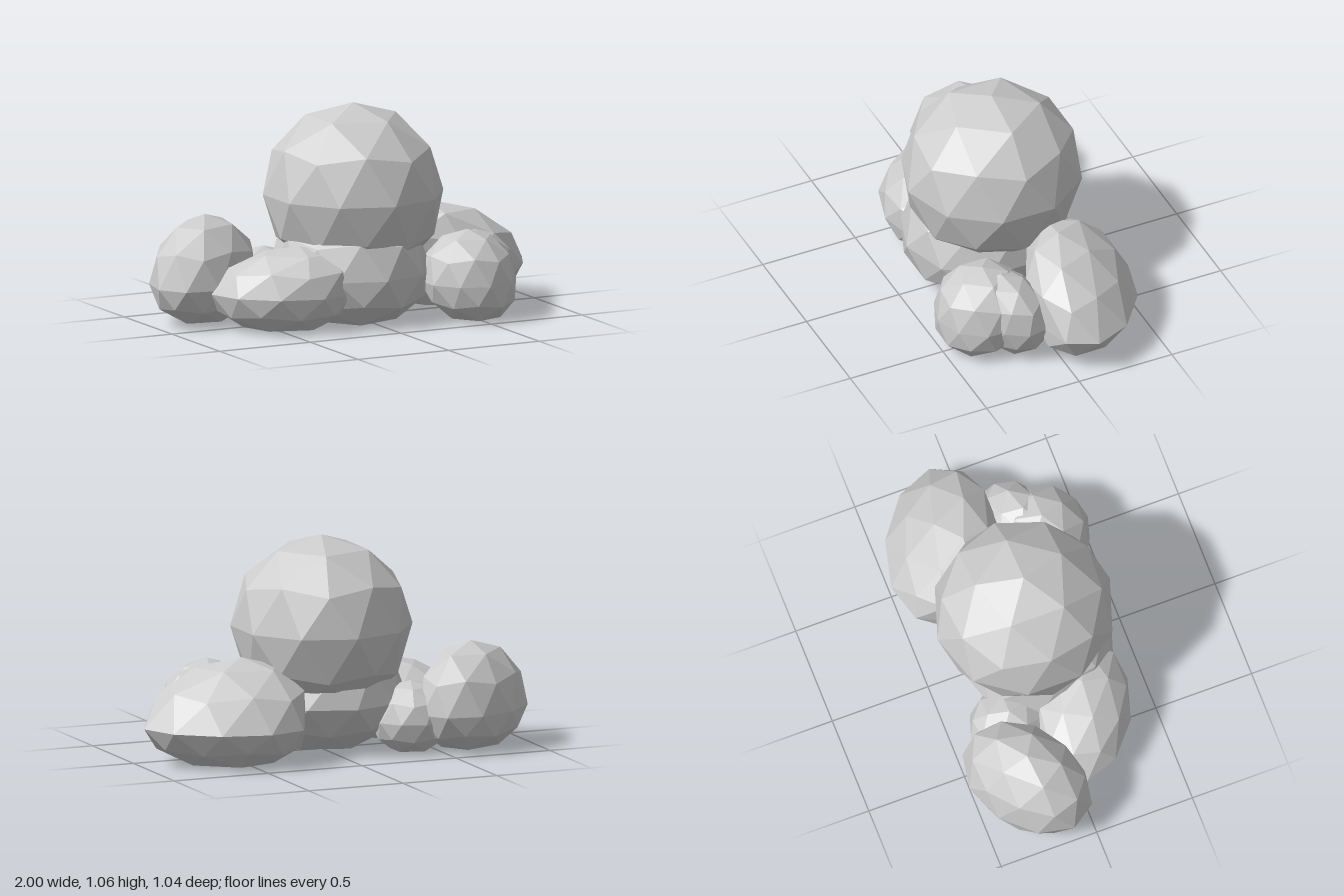
import * as THREE from 'three';

const stone = new THREE.MeshStandardMaterial({ color: 0xcccccc });
stone.name = 'paleGrey';

// One faceted boulder: an 80-sided ball, stretched, turned, its peak and foot slid sideways [x, z].
// With a floor, its lower half is squashed so that the bottom ring of corners rests flat there.
function boulder({ name, at, size, yaw = 0, peak = [0, 0], foot = [0, 0], floor = null }) {
  const geo = new THREE.IcosahedronGeometry(1, 1);
  geo.rotateZ(-Math.atan2(1, (1 + Math.sqrt(5)) / 2)); // stand on a corner
  geo.scale(...size).rotateY(yaw);
  const p = geo.attributes.position;
  const [cx, cy, cz] = at;
  const squash = floor === null ? 1 : (cy - floor) / (0.85 * size[1]);
  for (let i = 0; i < p.count; i++) {
    const y = p.getY(i);
    const t = Math.abs(y) / size[1]; // the waist stays in place
    const slide = y > 0 ? peak : foot;
    const low = cy + y * (y < 0 ? squash : 1);
    p.setXYZ(i, cx + p.getX(i) + slide[0] * t, floor === null ? low : Math.max(low, floor), cz + p.getZ(i) + slide[1] * t);
  }
  geo.computeVertexNormals(); // unshared corners give flat facets
  const mesh = new THREE.Mesh(geo, stone);
  mesh.name = name;
  return mesh;
}

export function createModel() {
  const group = new THREE.Group();
  group.name = 'boulderPile';
  const boulders = [
    // central stack
    { name: 'topBoulder', at: [0, 0.62, 0], size: [0.447, 0.445, 0.45] },
    { name: 'baseBoulder', at: [-0.04, 0.25, 0.04], size: [0.4, 0.34, 0.4], foot: [0, 0.05], floor: 0.012 },
    // large side boulders
    { name: 'backRightBoulder', at: [-0.69, 0.2, -0.245], size: [0.35, 0.33, 0.245], yaw: 0.6, floor: 0.015 },
    { name: 'backLeftBoulder', at: [0.605, 0.19, -0.21], size: [0.41, 0.325, 0.265], yaw: -0.45, peak: [-0.12, 0.08], foot: [-0.05, 0.05], floor: 0.002 },
    { name: 'frontRightBoulder', at: [-0.46, 0.185, 0.13], size: [0.36, 0.225, 0.24], yaw: -0.5, peak: [0.08, 0.03], floor: 0.01 },
    // small fillers
    { name: 'frontLeftBoulder', at: [0.485, 0.19, 0.28], size: [0.24, 0.25, 0.24], foot: [0.02, 0.05], floor: 0.01 },
    { name: 'middleLeftBoulder', at: [0.56, 0.19, 0.16], size: [0.24, 0.23, 0.18], yaw: 0.2, peak: [0, 0.05], floor: 0.005 },
    { name: 'backFillerBoulder', at: [-0.38, 0.16, -0.22], size: [0.2, 0.19, 0.2], floor: 0.01 },
  ];
  boulders.forEach((b) => group.add(boulder(b)));
  return group;
}
